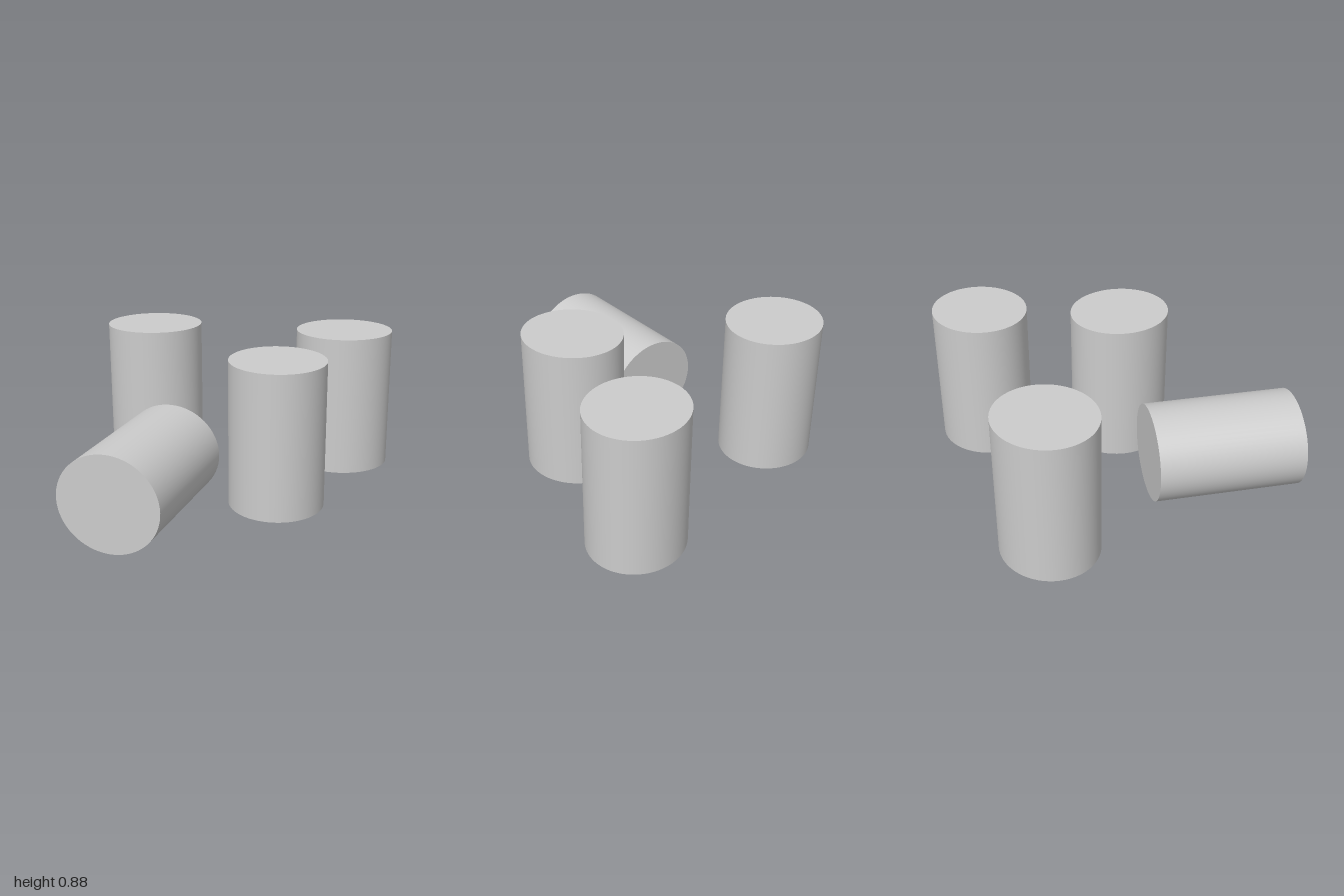
import * as THREE from 'three';

const LENGTH = 0.865;
const WIDE = 0.3;
const NARROW = 0.281;

export function createModel() {
  const group = new THREE.Group();
  const material = new THREE.MeshStandardMaterial({ color: 0xcccccc });

  // slightly oval solid cylinder, wide along x and narrow along z
  const oval = new THREE.CylinderGeometry(1, 1, LENGTH, 64).scale(WIDE, 1, NARROW);

  function addCylinder(name, x, y, z) {
    const mesh = new THREE.Mesh(oval, material);
    mesh.name = name;
    mesh.position.set(x, y, z);
    group.add(mesh);
    return mesh;
  }

  // three standing cylinders
  const standingY = 0.02 + LENGTH / 2;
  addCylinder('standingCylinderBack', -0.5, standingY, -0.69);
  addCylinder('standingCylinderLeft', 0.7, standingY, -0.44);
  addCylinder('standingCylinderFront', 0.215, standingY, 0.255).rotation.y = Math.PI / 2;

  // fallen cylinder, lying on its flatter side and turned outward
  const fallen = addCylinder('fallenCylinder', -0.557, NARROW, 0.452);
  fallen.rotation.set(Math.PI / 2, -0.387, 0, 'YXZ');

  return group;
}
